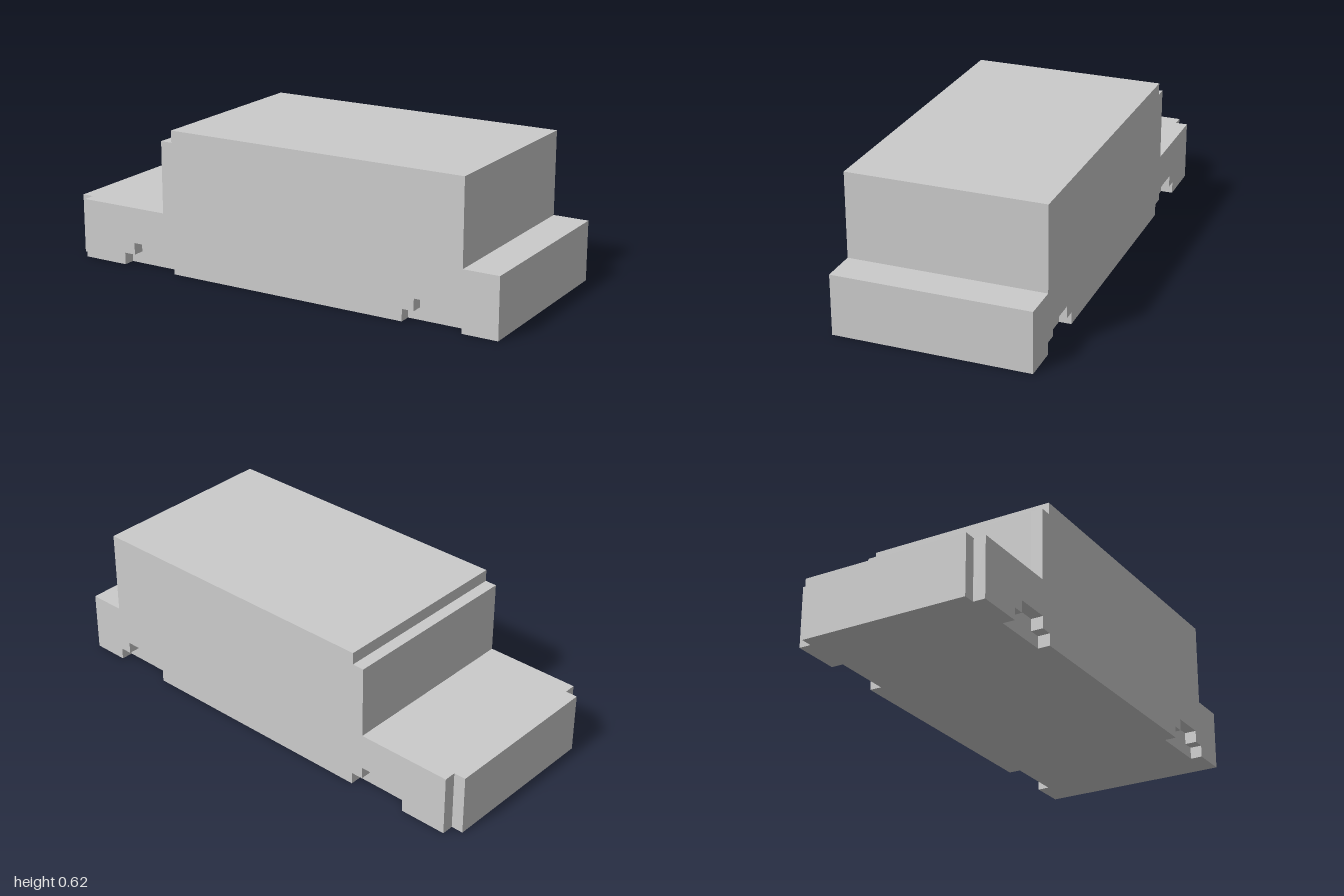
import * as THREE from 'three';

// The truck sits on a block grid, 39 blocks long, 16 wide and 12 high
const U = 2 / 39;
const material = new THREE.MeshStandardMaterial({ color: 0xcccccc, flatShading: true });

// Extrude a side profile (in blocks) from z0 to z1
function slab(name, points, z0, z1) {
  const shape = new THREE.Shape(points.map(([x, y]) => new THREE.Vector2((x - 19.5) * U, y * U)));
  const geometry = new THREE.ExtrudeGeometry(shape, { depth: (z1 - z0) * U, bevelEnabled: false });
  geometry.translate(0, 0, z0 * U);
  const mesh = new THREE.Mesh(geometry, material);
  mesh.name = name;
  return mesh;
}

// Stepped wheel arch, five blocks wide and two high
const arch = (x) => [
  [x, 0], [x, 1], [x + 1, 1], [x + 1, 2],
  [x + 4, 2], [x + 4, 1], [x + 5, 1], [x + 5, 0],
];

// Outline over the low ends and the cabin with its notched roof edge
const upper = (start) => [
  [39, 0], [39, 5], [36, 5], [36, 12], [10, 12], [10, 11], [9, 11], [9, 5], [start, 5],
];

export function createModel() {
  const group = new THREE.Group();
  group.name = 'blockVehicle';

  // Solid middle, one block longer than the side panels
  group.add(slab('bodyCore', [[0, 0], ...upper(0)], -7, 7));

  // Side panels with recessed wheel arches
  const side = [[1, 0], ...arch(5), ...arch(31), ...upper(1)];
  group.add(slab('frontSidePanel', side, 7, 8));
  group.add(slab('backSidePanel', side, -8, -7));

  return group;
}
